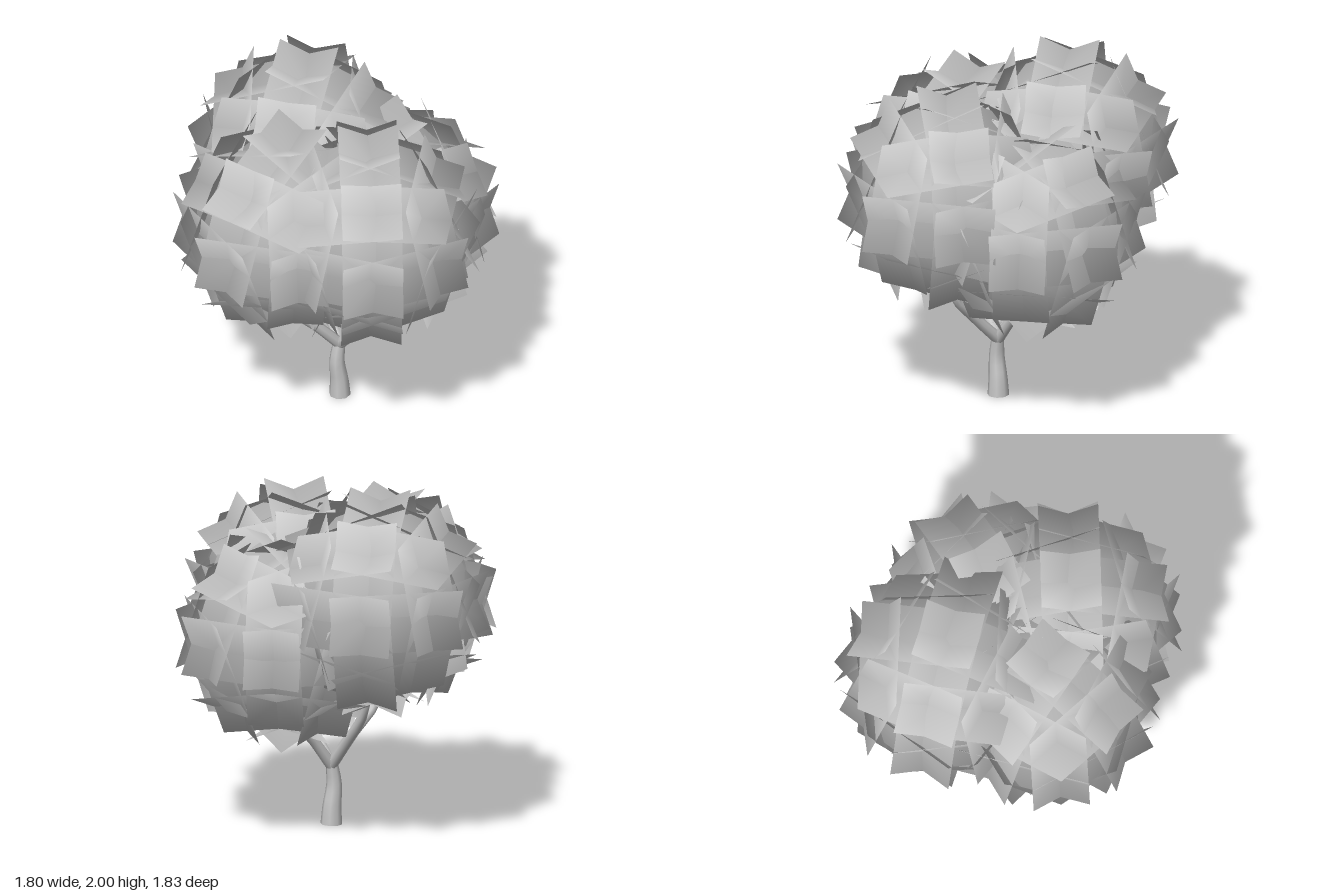
import * as THREE from 'three';

const material = new THREE.MeshStandardMaterial({ color: 0xcccccc });
const leafMaterial = new THREE.MeshStandardMaterial({ color: 0xcccccc, side: THREE.DoubleSide });

// Ball of 24 leaf cards: the quads of a rounded cube, each enlarged about its own middle
function leafBallGeometry(radius, enlarge) {
  const positions = [], normals = [], index = [];
  for (let axis = 0; axis < 3; axis++) {
    for (const s of [-1, 1]) for (const u of [-1, 1]) for (const v of [-1, 1]) {
      const point = (a, b) => {
        const p = [0, 0, 0];
        p[axis] = s;
        p[(axis + 1) % 3] = a;
        p[(axis + 2) % 3] = b;
        return new THREE.Vector3(...p).normalize();
      };
      const corners = [point(0, 0), point(u, 0), point(u, v), point(0, v)];
      if (s * u * v < 0) corners.reverse(); // keep the front facing outwards
      const middle = new THREE.Vector3();
      corners.forEach((c) => middle.addScaledVector(c, 0.25));
      const first = positions.length / 3;
      for (const c of corners) {
        const p = c.clone().sub(middle).multiplyScalar(enlarge).add(middle);
        const n = p.clone().normalize();
        positions.push(p.x * radius, p.y * radius, p.z * radius);
        normals.push(n.x, n.y, n.z);
      }
      index.push(first, first + 1, first + 2, first, first + 2, first + 3);
    }
  }
  const geometry = new THREE.BufferGeometry();
  geometry.setAttribute('position', new THREE.Float32BufferAttribute(positions, 3));
  geometry.setAttribute('normal', new THREE.Float32BufferAttribute(normals, 3));
  geometry.setIndex(index);
  return geometry;
}

// Tapered limb swept along a smooth curve, with a flat cap at each end
function limb(name, points, r0, r1, sides = 8, steps = 8) {
  const curve = new THREE.CatmullRomCurve3(points.map((p) => new THREE.Vector3(...p)));
  const geometry = new THREE.TubeGeometry(curve, steps, 1, sides, false);
  const pos = geometry.attributes.position;
  const p = new THREE.Vector3();
  for (let i = 0; i < pos.count; i++) {
    const t = Math.floor(i / (sides + 1)) / steps;
    const centre = curve.getPointAt(t);
    p.fromBufferAttribute(pos, i).sub(centre).multiplyScalar(r0 + (r1 - r0) * t).add(centre);
    pos.setXYZ(i, p.x, p.y, p.z);
  }
  const mesh = new THREE.Mesh(geometry, material);
  mesh.name = name;
  for (const [t, r, dir] of [[0, r0, -1], [1, r1, 1]]) {
    const cap = new THREE.Mesh(new THREE.CircleGeometry(r, sides), material);
    cap.name = name + 'Cap';
    cap.position.copy(curve.getPointAt(t));
    cap.quaternion.setFromUnitVectors(new THREE.Vector3(0, 0, 1), curve.getTangentAt(t).multiplyScalar(dir));
    mesh.add(cap);
  }
  return mesh;
}

export function createModel() {
  const tree = new THREE.Group();
  tree.name = 'tree';

  // Trunk, slightly bent
  tree.add(limb('trunk',
    [[0.03, 0, 0.033], [0.027, 0.1, 0.035], [0.016, 0.23, 0.044], [0.03, 0.37, 0.034]], 0.062, 0.034));

  // Branches, one into each leaf ball
  const fork = [0.03, 0.34, 0.034];
  const branches = [
    ['frontLeftBranch', [0.15, 0.51, 0.15], [0.27, 0.69, 0.25], [0.28, 0.86, 0.27]],
    ['frontRightBranch', [-0.08, 0.51, 0.14], [-0.19, 0.66, 0.235], [-0.23, 0.84, 0.26]],
    ['backLeftBranch', [0.11, 0.49, -0.05], [0.19, 0.63, -0.14], [0.22, 0.8, -0.17]],
    ['backRightBranch', [-0.07, 0.5, -0.06], [-0.18, 0.68, -0.17], [-0.23, 0.92, -0.24]],
  ];
  for (const [name, ...path] of branches) tree.add(limb(name, [fork, ...path], 0.034, 0.024));

  // Leaf balls: name, centre, turn about y in degrees
  const ball = leafBallGeometry(0.486, 2.09);
  const clusters = [
    ['backRightLeaves', [-0.28, 1.38, -0.3], 0],
    ['frontLeftLeaves', [0.26, 1.285, 0.27], 17],
    ['frontRightLeaves', [-0.23, 1.265, 0.27], -22.5],
    ['backLeftLeaves', [0.24, 1.14, -0.2], 45],
  ];
  for (const [name, centre, turn] of clusters) {
    const leaves = new THREE.Mesh(ball, leafMaterial);
    leaves.name = name;
    leaves.position.set(...centre);
    leaves.rotation.y = THREE.MathUtils.degToRad(turn);
    tree.add(leaves);
  }
  return tree;
}
